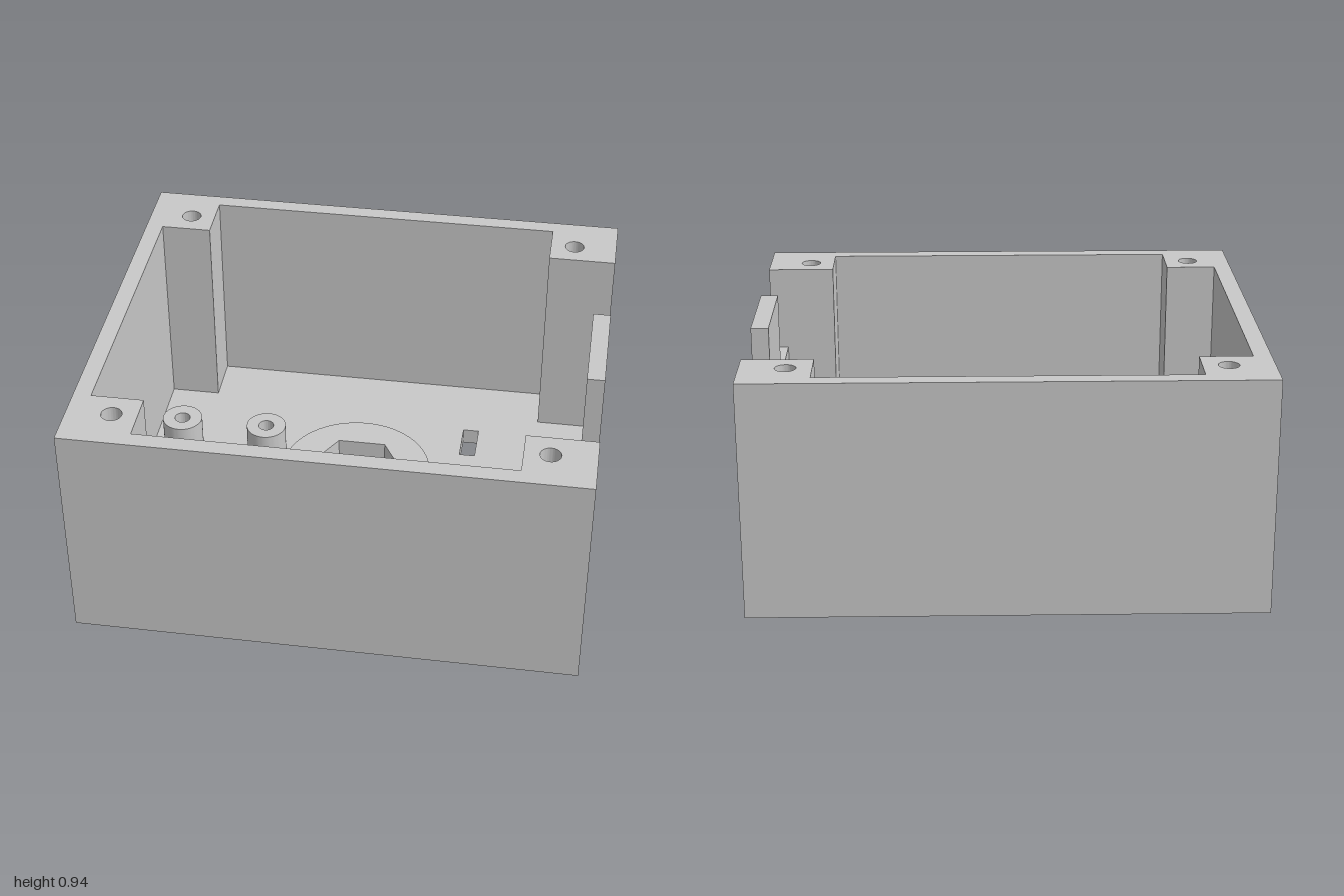
import * as THREE from 'three';
import { toCreasedNormals } from 'three/addons/utils/BufferGeometryUtils.js';

const W = 1, D = 0.88, H = 0.94;         // outer half width, half depth, height
const IX = 0.93, IZ = 0.813;             // inner wall faces
const PX = 0.725, PZ = 0.605;            // inner faces of the corner posts
const FLOOR = 0.07, SILL = 0.588, NOTCH = 0.222;
const BOSS_Z = 0.013;

// Plan outlines are given as [x, z] and always wound counter-clockwise
const outline = (pts, Type = THREE.Shape) => {
  const v = pts.map(([x, z]) => new THREE.Vector2(x, -z));
  return new Type(THREE.ShapeUtils.isClockWise(v) ? v.reverse() : v);
};
const rect = (x0, x1, z0, z1, Type) => outline([[x0, z0], [x1, z0], [x1, z1], [x0, z1]], Type);
const disc = (x, z, r, Type = THREE.Shape) => {
  const s = new Type();
  s.absarc(x, -z, r, 0, Math.PI * 2, false);
  return s;
};
const withHoles = (shape, holes) => {
  shape.holes.push(...holes);
  return shape;
};

// Upright prism from a plan outline, leaving out caps that are buried
function prism(shape, y0, y1, { top = true, bottom = true } = {}) {
  const g = new THREE.ExtrudeGeometry(shape, { depth: y1 - y0, bevelEnabled: false, curveSegments: 32 });
  g.rotateX(-Math.PI / 2).translate(0, y0, 0);
  const p = g.attributes.position, n = g.attributes.normal, kept = [];
  for (let i = 0; i < p.count; i += 3) {
    const ny = n.getY(i);
    if ((ny > 0.9 && !top) || (ny < -0.9 && !bottom)) continue;
    for (let k = i; k < i + 3; k++) kept.push(p.getX(k), p.getY(k), p.getZ(k));
  }
  const out = new THREE.BufferGeometry();
  out.setAttribute('position', new THREE.Float32BufferAttribute(kept, 3));
  return toCreasedNormals(out, 0.5);
}

// Flat upward face
const face = (shape, y) => new THREE.ShapeGeometry(shape, 32).rotateX(-Math.PI / 2).translate(0, y, 0);

export function createModel() {
  const model = new THREE.Group();
  model.name = 'enclosure';
  const plastic = new THREE.MeshStandardMaterial({ color: 0xc8c8c8 });
  plastic.name = 'grey plastic';
  const add = (name, geometry) => {
    const m = new THREE.Mesh(geometry, plastic);
    m.name = name;
    model.add(m);
  };

  // Cavity plan: a rectangle with the four corner posts taken out
  const cavity = [
    [-PX, -IZ], [PX, -IZ], [PX, -PZ], [IX, -PZ], [IX, PZ], [PX, PZ],
    [PX, IZ], [-PX, IZ], [-PX, PZ], [-IX, PZ], [-IX, -PZ], [-PX, -PZ],
  ];

  // Floor with a centre bolt hole and four strap slots
  const floorHoles = () => {
    const holes = [disc(0, BOSS_Z, 0.1, THREE.Path)];
    for (const x of [0.405, 0.805])
      for (const z of [-0.5, 0.325]) holes.push(rect(x, x + 0.066, z, z + 0.175, THREE.Path));
    return holes;
  };
  add('floorPlate', prism(withHoles(rect(-W, W, -D, D), floorHoles()), 0, FLOOR, { top: false }));
  add('floorTop', face(withHoles(outline(cavity), floorHoles()), FLOOR));

  // Lower walls and posts
  const ring = withHoles(rect(-W, W, -D, D), [outline(cavity, THREE.Path)]);
  add('lowerWalls', prism(ring, FLOOR, SILL, { top: false, bottom: false }));

  // Upper walls, open along the notched side, with screw holes in the posts
  const screws = [];
  for (const x of [-0.825, 0.825]) for (const z of [-0.707, 0.707]) screws.push([x, z]);
  const upper = outline([
    [W, -PZ], [W, -D], [-W, -D], [-W, D], [W, D], [W, PZ], [PX, PZ], [PX, IZ], [-PX, IZ],
    [-PX, PZ], [-IX, PZ], [-IX, -PZ], [-PX, -PZ], [-PX, -IZ], [PX, -IZ], [PX, -PZ],
  ]);
  withHoles(upper, screws.map(([x, z]) => disc(x, z, 0.04, THREE.Path)));
  add('upperWalls', prism(upper, SILL, H, { bottom: false }));
  for (const [x, z] of screws) add('screwHoleBottom', face(disc(x, z, 0.04), SILL));

  // Tab between the two notches, and the notch sills
  add('notchTab', prism(rect(IX, W, -NOTCH, NOTCH), SILL, H, { bottom: false }));
  add('backNotchSill', face(rect(IX, W, -PZ, -NOTCH), SILL));
  add('frontNotchSill', face(rect(IX, W, NOTCH, PZ), SILL));

  // Centre boss with a hexagonal nut pocket
  const hex = Array.from({ length: 6 }, (_, i) => {
    const a = i * Math.PI / 3;
    return [0.197 * Math.cos(a), BOSS_Z + 0.197 * Math.sin(a)];
  });
  const boss = withHoles(disc(0, BOSS_Z, 0.308), [outline(hex, THREE.Path)]);
  add('nutBoss', prism(boss, FLOOR, 0.22, { bottom: false }));

  // Four hollow board standoffs
  for (const x of [-0.803, -0.432])
    for (const z of [-0.24, 0.358]) {
      const post = withHoles(disc(x, z, 0.085), [disc(x, z, 0.033, THREE.Path)]);
      add('standoff', prism(post, FLOOR, 0.2, { bottom: false }));
    }

  return model;
}
